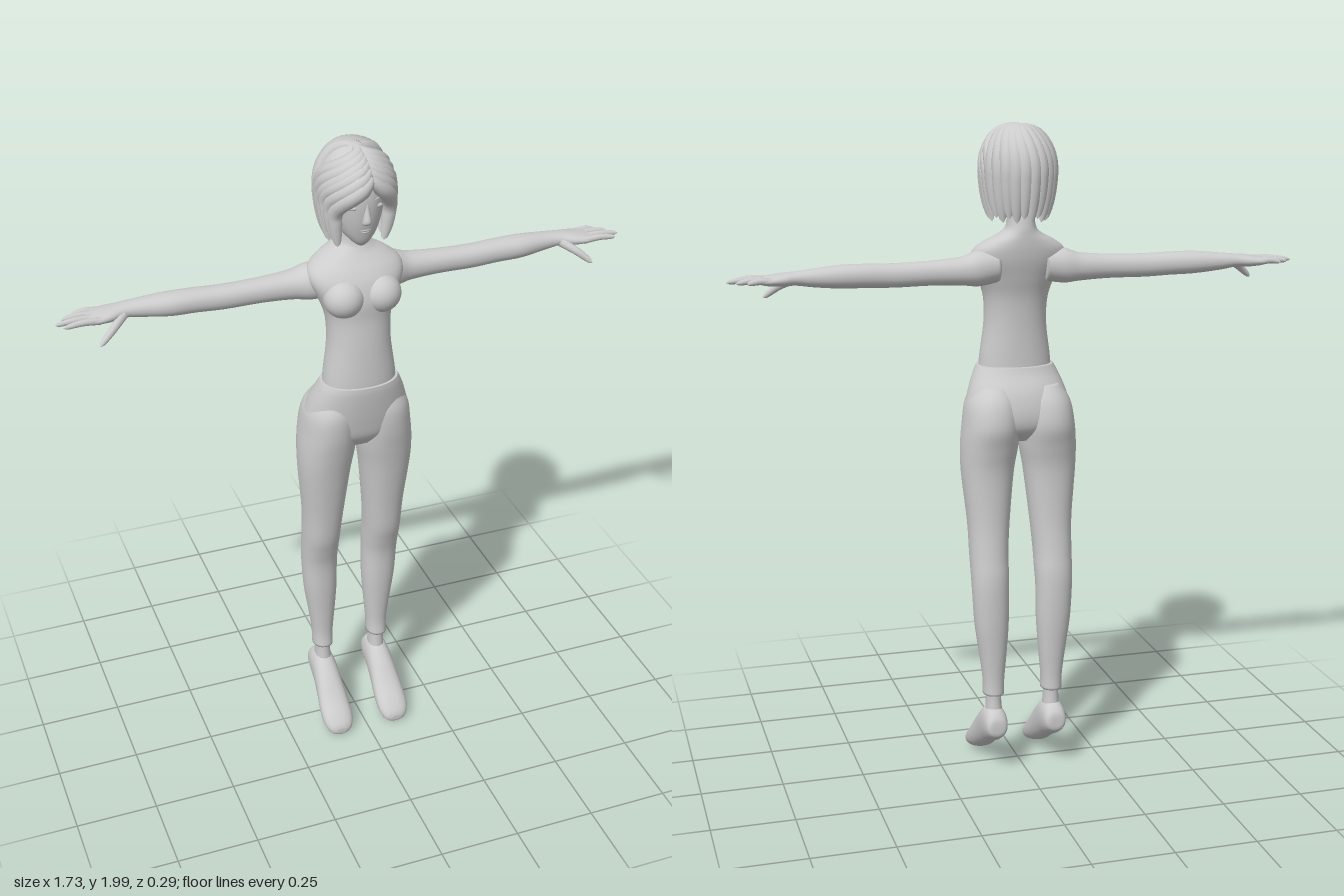
import * as THREE from 'three';

const grey = new THREE.MeshStandardMaterial({ color: 0xcccccc });
grey.name = 'plain grey';

// Smooth closed skin through rows [s, u0, u1, v0, v1]; map turns (s, u, v) into x, y, z
function loft(rows, map, sides = 28, sub = 5) {
  const last = rows.length - 1, pos = [], idx = [];
  const row = (t) => {
    const i = Math.min(Math.floor(t), last - 1), f = t - i;
    const r = (k) => rows[Math.max(0, Math.min(last, k))];
    return rows[0].map((_, c) => {
      const a = r(i - 1)[c], b = r(i)[c], d = r(i + 1)[c], e = r(i + 2)[c];
      return b + 0.5 * f * (d - a + f * (2 * a - 5 * b + 4 * d - e + f * (3 * (b - d) + e - a)));
    });
  };
  const n = last * sub;
  const soft = (k) => Math.sign(k) * Math.abs(k) ** 0.92;
  for (let i = 0; i <= n; i++) {
    const [s, u0, u1, v0, v1] = row(i / sub);
    for (let j = 0; j < sides; j++) {
      const a = (j / sides) * Math.PI * 2;
      pos.push(...map(s, (u0 + u1) / 2 + soft(Math.cos(a)) * (u1 - u0) / 2,
        (v0 + v1) / 2 + soft(Math.sin(a)) * (v1 - v0) / 2));
    }
  }
  for (let i = 0; i < n; i++) for (let j = 0; j < sides; j++) {
    const a = i * sides + j, b = i * sides + (j + 1) % sides;
    idx.push(a, b, a + sides, b, b + sides, a + sides);
  }
  // end caps
  [[rows[0], 0], [rows[last], n * sides]].forEach(([r, o], end) => {
    const c = pos.length / 3;
    pos.push(...map(r[0], (r[1] + r[2]) / 2, (r[3] + r[4]) / 2));
    for (let j = 0; j < sides; j++) {
      const a = o + j, b = o + (j + 1) % sides;
      idx.push(...(end ? [c, a, b] : [c, b, a]));
    }
  });
  // turn the skin outward, judged by its signed volume
  const P = (i) => new THREE.Vector3().fromArray(pos, i * 3);
  let vol = 0;
  for (let i = 0; i < idx.length; i += 3) vol += P(idx[i]).dot(P(idx[i + 1]).cross(P(idx[i + 2])));
  if (vol < 0) idx.reverse();
  const g = new THREE.BufferGeometry();
  g.setAttribute('position', new THREE.Float32BufferAttribute(pos, 3));
  g.setIndex(idx);
  g.computeVertexNormals();
  return g;
}

// Tube whose thickness follows radius(t)
function taperedTube(points, radius, segs = 18, sides = 10) {
  const curve = new THREE.CatmullRomCurve3(points);
  const g = new THREE.TubeGeometry(curve, segs, 1, sides);
  const p = g.attributes.position, v = new THREE.Vector3();
  for (let i = 0; i <= segs; i++) {
    const c = curve.getPointAt(i / segs), r = Math.max(radius(i / segs), 0.0003);
    for (let j = 0; j <= sides; j++) {
      const k = i * (sides + 1) + j;
      v.fromBufferAttribute(p, k).sub(c).multiplyScalar(r).add(c);
      p.setXYZ(k, v.x, v.y, v.z);
    }
  }
  return g;
}

const V = (x, y, z) => new THREE.Vector3(x, y, z);
const alongY = (s, u, v) => [u, s, v];
const sym = (rows) => rows.map(([y, w, z0, z1]) => [y, -w, w, z0, z1]);

export function createModel() {
  const model = new THREE.Group();
  model.name = 'figure';
  const add = (name, geometry) => {
    const m = new THREE.Mesh(geometry, grey);
    m.name = name;
    model.add(m);
    return m;
  };
  const ball = (name, x, y, z, a, b, c) => {
    const m = add(name, new THREE.SphereGeometry(1, 28, 20));
    m.position.set(x, y, z);
    m.scale.set(a, b, c);
  };

  // torso and neck: [y, half width, back z, front z]
  add('torso', loft(sym([
    [1.25, 0.112, -0.045, 0.113], [1.3, 0.108, -0.044, 0.113], [1.4, 0.095, -0.045, 0.108],
    [1.48, 0.098, -0.052, 0.102], [1.54, 0.118, -0.068, 0.103], [1.59, 0.142, -0.082, 0.09],
    [1.625, 0.138, -0.088, 0.07], [1.652, 0.105, -0.09, 0.048], [1.675, 0.062, -0.09, 0.03],
    [1.7, 0.042, -0.088, 0.02], [1.77, 0.038, -0.075, 0.022],
  ]), alongY, 40));

  // trousers top
  add('pelvis', loft(sym([
    [1.274, 0.117, -0.05, 0.119], [1.25, 0.129, -0.06, 0.119], [1.2, 0.149, -0.087, 0.113],
    [1.14, 0.163, -0.1, 0.103], [1.09, 0.15, -0.092, 0.09], [1.05, 0.08, -0.055, 0.06],
  ]), alongY, 40));

  // head
  add('head', loft(sym([
    [1.705, 0.012, 0.03, 0.062], [1.72, 0.03, 0, 0.075], [1.75, 0.054, -0.05, 0.086],
    [1.8, 0.072, -0.09, 0.098], [1.86, 0.08, -0.11, 0.103], [1.92, 0.07, -0.09, 0.09], [1.96, 0.03, -0.04, 0.04],
  ]), alongY, 36));
  add('nose', loft(sym([
    [1.865, 0.006, 0.08, 0.1], [1.83, 0.007, 0.08, 0.106], [1.798, 0.012, 0.08, 0.115],
    [1.786, 0.013, 0.08, 0.11], [1.78, 0.005, 0.08, 0.098],
  ]), alongY, 16));
  ball('upperLip', 0, 1.762, 0.084, 0.019, 0.004, 0.007);
  ball('lowerLip', 0, 1.755, 0.082, 0.016, 0.004, 0.007);

  for (const s of [1, -1]) {
    const side = s > 0 ? 'left' : 'right';
    const mirrorY = (y, x, z) => [s * x, y, z];

    ball(side + 'Bust', s * 0.056, 1.55, 0.062, 0.06, 0.058, 0.06);
    ball(side + 'Eye', s * 0.034, 1.833, 0.088, 0.016, 0.007, 0.008);
    add(side + 'Brow', taperedTube([V(s * 0.014, 1.85, 0.1), V(s * 0.035, 1.857, 0.093), V(s * 0.055, 1.851, 0.077)],
      (t) => 0.004 * Math.sin(Math.PI * (0.1 + 0.85 * t)), 10, 6));

    // trouser leg: [y, inner x, outer x, back z, front z]
    add(side + 'Leg', loft([
      [1.22, 0.02, 0.125, -0.07, 0.09], [1.17, 0.004, 0.158, -0.102, 0.105], [1.1, 0.001, 0.171, -0.115, 0.102],
      [1.03, 0.005, 0.178, -0.1, 0.09], [0.95, 0.018, 0.177, -0.087, 0.075], [0.8, 0.034, 0.163, -0.088, 0.05],
      [0.7, 0.042, 0.16, -0.098, 0.035], [0.64, 0.043, 0.159, -0.106, 0.018], [0.58, 0.045, 0.157, -0.108, 0.004],
      [0.48, 0.046, 0.151, -0.105, -0.002], [0.38, 0.053, 0.137, -0.097, -0.01],
      [0.3, 0.06, 0.127, -0.091, -0.015], [0.25, 0.061, 0.126, -0.091, -0.011],
    ], mirrorY, 32));
    add(side + 'Ankle', loft([
      [0.29, 0.07, 0.116, -0.084, -0.02], [0.23, 0.07, 0.116, -0.084, -0.02], [0.17, 0.065, 0.12, -0.09, -0.015],
    ], mirrorY, 24));

    // slanted shoe: [z, bottom y, top y, inner x, outer x]
    add(side + 'Shoe', loft([
      [-0.114, 0.135, 0.16, 0.078, 0.112], [-0.108, 0.12, 0.185, 0.064, 0.125], [-0.08, 0.101, 0.208, 0.056, 0.132],
      [-0.03, 0.075, 0.205, 0.053, 0.135], [0.02, 0.045, 0.163, 0.05, 0.139], [0.07, 0.017, 0.107, 0.046, 0.145],
      [0.11, 0.003, 0.07, 0.048, 0.143], [0.134, 0, 0.043, 0.061, 0.13], [0.142, 0.008, 0.026, 0.08, 0.112],
    ], (z, y, x) => [s * x, y, z], 28));

    // arm and palm: [x, bottom y, top y, back z, front z]
    add(side + 'Arm', loft([
      [0.07, 1.53, 1.63, -0.08, 0.04], [0.13, 1.522, 1.627, -0.086, 0.025], [0.18, 1.527, 1.611, -0.082, 0.008],
      [0.27, 1.531, 1.603, -0.076, 0], [0.38, 1.53, 1.6, -0.076, -0.002], [0.46, 1.533, 1.602, -0.08, -0.004],
      [0.54, 1.535, 1.602, -0.084, -0.004], [0.62, 1.543, 1.595, -0.083, -0.018], [0.67, 1.55, 1.59, -0.082, -0.02],
      [0.71, 1.549, 1.586, -0.088, -0.007], [0.75, 1.552, 1.58, -0.09, -0.002], [0.775, 1.558, 1.575, -0.086, -0.008],
    ], (x, y, z) => [s * x, y, z], 28));

    // fingers: [base z, tip x, tip z]
    [[-0.078, 0.81, -0.082], [-0.058, 0.84, -0.062], [-0.036, 0.864, -0.034], [-0.014, 0.845, -0.01]]
      .forEach(([z0, x1, z1], i) => add(side + 'Finger' + (i + 1), taperedTube(
        [V(s * 0.74, 1.566, z0), V(s * (0.74 + x1) / 2, 1.569, (z0 + z1) / 2), V(s * x1, 1.563, z1)],
        (t) => 0.0115 * (1 - 0.35 * t) * Math.sqrt(Math.max(0, 1 - t ** 10)), 14, 10)));
    add(side + 'Thumb', taperedTube(
      [V(s * 0.672, 1.565, -0.03), V(s * 0.71, 1.542, 0.002), V(s * 0.755, 1.506, 0.024)],
      (t) => 0.0145 * (1 - 0.4 * t) * Math.sqrt(Math.max(0, 1 - t ** 10)), 14, 10));
  }

  // hair: locks laid over a domed surface, az from the front, v down from the crown
  ball('hairCap', 0, 1.865, -0.03, 0.096, 0.12, 0.112);
  const dome = (az, v) => {
    const low = Math.max(0, v - Math.PI / 2);
    const h = low ? 1 - 0.13 * low * low : Math.sin(v);
    const y = low ? 1.855 - 0.13 * low : 1.855 + 0.122 * Math.cos(v);
    return V(0.093 * h * Math.sin(az), y, 0.128 * h * Math.cos(az));
  };
  const lock = (name, az0, az1, v0, v1, r) => {
    const pts = [];
    for (let i = 0; i <= 10; i++) {
      const t = i / 10;
      const a = THREE.MathUtils.smoothstep(Math.min(1, t * 1.5 + 0.08), 0, 1);
      pts.push(dome(az0 + (az1 - az0) * a, v0 + (v1 - v0) * t ** 1.15));
    }
    add(name, taperedTube(pts, (t) => r * Math.min(1, 0.55 + t * 3) * Math.sqrt(Math.max(0, 1 - t ** 3.5)), 26, 12));
  };
  const deg = Math.PI / 180;
  for (let k = 0; k < 6; k++) for (const s of [1, -1])
    lock('sideLock', 0.12, s * (62 + 9 * k) * deg, 0.98 - 0.17 * k, 2.72 - 0.1 * (k % 3), 0.024);
  for (let k = 0; k < 10; k++) {
    const az = (112 + 15.1 * k) * deg;
    lock('backLock', az - 0.3, az, 0.12, 2.6 + 0.1 * (k % 2), 0.025);
  }
  return model;
}
